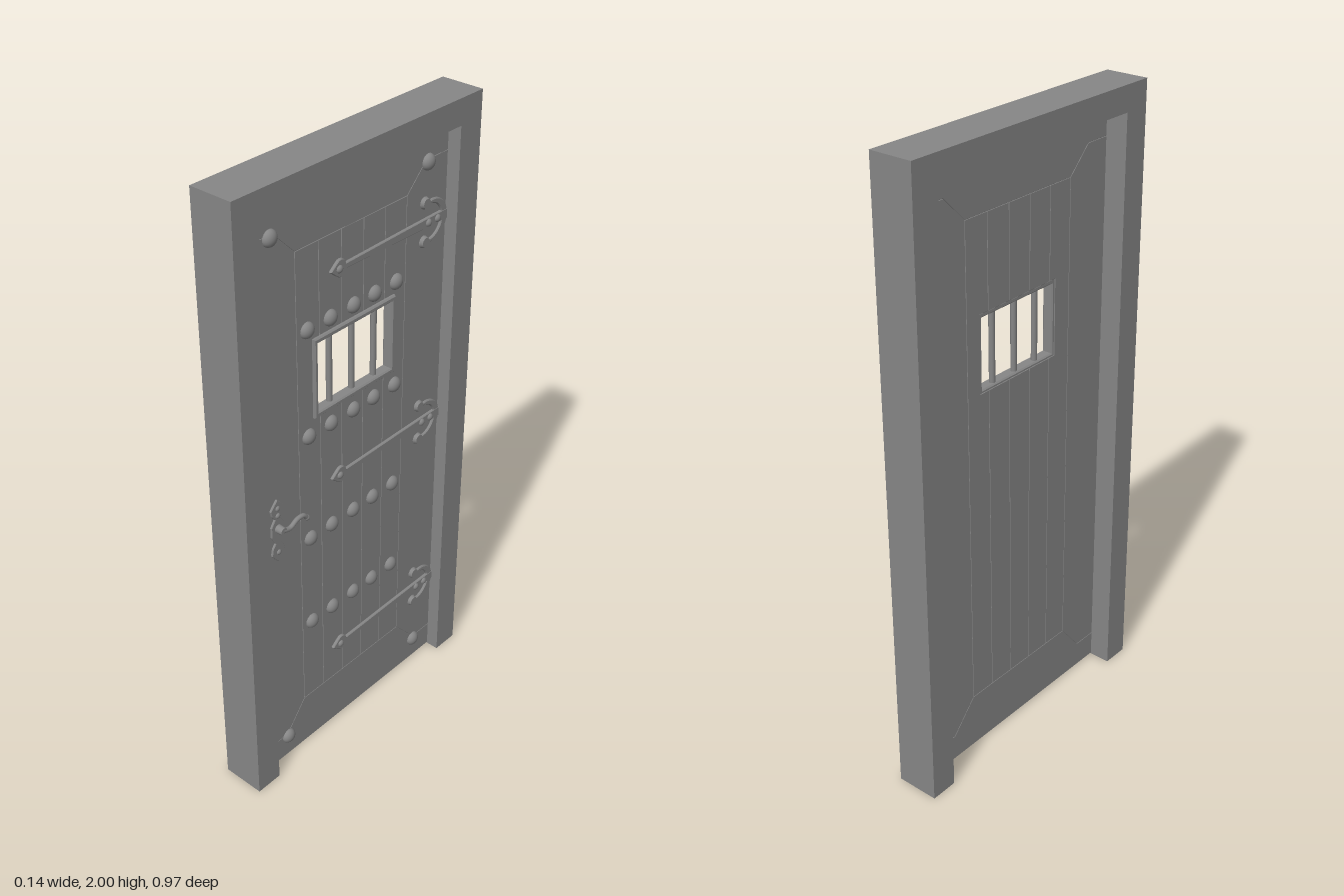
import * as THREE from 'three';

const material = new THREE.MeshStandardMaterial({ color: 0x868686, side: THREE.DoubleSide });

function add(parent, name, geometry, x = 0, y = 0, z = 0) {
  const mesh = new THREE.Mesh(geometry, material);
  mesh.name = name;
  mesh.position.set(x, y, z);
  parent.add(mesh);
  return mesh;
}

const outline = (pts) => new THREE.Shape(pts.map(([x, y]) => new THREE.Vector2(x, y)));
const rect = (x0, y0, x1, y1) => [[x0, y0], [x1, y0], [x1, y1], [x0, y1]];

// Plate between two depths; a bevel leaves a V groove between neighbours
function plate(shape, z0, z1, bevel = 0) {
  const g = new THREE.ExtrudeGeometry(shape, {
    depth: z1 - z0 - 2 * bevel, bevelEnabled: bevel > 0, bevelSize: bevel,
    bevelThickness: bevel, bevelOffset: -bevel, bevelSegments: 1, curveSegments: 16,
  });
  return g.translate(0, 0, z0 + bevel);
}

const BACK = 0, FACE = 0.028;
const WIN = { x: 0.165, y0: 1.23, y1: 1.473 };

// Flattened dome head
function stud(parent, x, y, r = 0.025, z = FACE) {
  const g = new THREE.SphereGeometry(r, 16, 8, 0, Math.PI * 2, 0, Math.PI / 2);
  g.rotateX(Math.PI / 2).scale(1, 1, 0.75);
  add(parent, 'stud', g, x, y, z);
}

function buildLeaf() {
  const leaf = new THREE.Group();
  leaf.name = 'doorLeaf';
  const board = (name, pts) => add(leaf, name, plate(outline(pts), BACK, FACE, 0.0012));

  // Rails and stiles with mitred corners
  board('bottomRail', [[-0.395, 0.004], [0.395, 0.004], [0.395, 0.09], [0.31, 0.09],
    [0.22, 0.19], [-0.23, 0.19], [-0.31, 0.09], [-0.395, 0.09]]);
  board('topRail', [[-0.395, 1.92], [-0.395, 1.84], [-0.31, 1.84], [-0.23, 1.76],
    [0.22, 1.76], [0.3, 1.84], [0.395, 1.84], [0.395, 1.92]]);
  board('leftStile', [[-0.395, 0.09], [-0.31, 0.09], [-0.23, 0.19], [-0.23, 1.76],
    [-0.31, 1.84], [-0.395, 1.84]]);
  board('rightStile', [[0.395, 0.09], [0.395, 1.84], [0.3, 1.84], [0.22, 1.76],
    [0.22, 0.19], [0.31, 0.09]]);

  // Planks, the middle ones cut by the window and the outer ones notched
  for (const x of [-0.14, -0.05, 0.04]) {
    board('plank', rect(x, 0.19, x + 0.09, WIN.y0));
    board('plank', rect(x, WIN.y1, x + 0.09, 1.76));
  }
  for (const [outer, inner, cut] of [[-0.23, -0.14, -WIN.x], [0.22, 0.13, WIN.x]]) {
    board('plank', [[outer, 0.19], [inner, 0.19], [inner, WIN.y0], [cut, WIN.y0],
      [cut, WIN.y1], [inner, WIN.y1], [inner, 1.76], [outer, 1.76]]);
  }

  // Rows of studs and the corner studs
  for (const y of [1.513, 1.171, 0.811, 0.49])
    for (const x of [-0.19, -0.098, -0.003, 0.085, 0.178]) stud(leaf, x, y);
  for (const [x, y] of [[-0.32, 1.832], [0.307, 1.832], [-0.307, 0.083], [0.307, 0.083]])
    stud(leaf, x, y);
  return leaf;
}

function buildWindow() {
  const win = new THREE.Group();
  win.name = 'barredWindow';
  const trim = outline(rect(-0.17, 1.222, 0.17, 1.476));
  trim.holes.push(outline(rect(-0.155, 1.239, 0.155, 1.459)));
  add(win, 'windowTrim', plate(trim, BACK + 0.002, 0.038, 0.004));
  for (const x of [-0.09, 0.003, 0.098])
    add(win, 'windowBar', new THREE.CylinderGeometry(0.0095, 0.0095, 0.235, 12), x, 1.349, 0.016);
  return win;
}

function buildHinge(y) {
  const hinge = new THREE.Group();
  hinge.name = 'strapHinge';
  hinge.position.y = y;
  // Tapering strap with a leaf-shaped tip
  const strap = new THREE.Shape();
  strap.moveTo(0.39, -0.016);
  strap.lineTo(0.39, 0.016);
  strap.lineTo(0.2, 0.013);
  strap.lineTo(-0.042, 0.008);
  strap.quadraticCurveTo(-0.05, 0.032, -0.072, 0.025);
  strap.quadraticCurveTo(-0.09, 0.012, -0.103, 0);
  strap.quadraticCurveTo(-0.09, -0.012, -0.072, -0.025);
  strap.quadraticCurveTo(-0.05, -0.032, -0.042, -0.008);
  strap.lineTo(0.2, -0.013);
  add(hinge, 'strap', plate(strap, FACE, 0.039, 0.002));

  // Crescent with rounded curls at its ends
  const a = 1.9;
  const crescent = new THREE.Shape();
  crescent.absarc(0.325, 0, 0.066, -a, a, false);
  crescent.absarc(0.312, 0, 0.054, a, -a, true);
  add(hinge, 'crescent', plate(crescent, FACE, 0.038, 0.003));
  for (const s of [-1, 1]) {
    const curl = new THREE.CylinderGeometry(0.015, 0.019, 0.011, 16).rotateX(Math.PI / 2);
    add(hinge, 'curl', curl, 0.297, s * 0.06, FACE + 0.0055);
  }
  for (const x of [-0.07, 0.305, 0.345]) stud(hinge, x, 0, 0.012, 0.038);
  return hinge;
}

function buildHandle() {
  const handle = new THREE.Group();
  handle.name = 'handle';
  handle.position.set(-0.33, 0.92, 0);
  // Ornate back plate, waisted with lobes at both ends
  const half = [[0, -0.11], [0.012, -0.098], [0.027, -0.078], [0.022, -0.055], [0.011, -0.04],
    [0.026, -0.012], [0.026, 0.022], [0.011, 0.045], [0.022, 0.06], [0.027, 0.08],
    [0.012, 0.098], [0, 0.11]];
  const mirrored = half.slice(1, -1).reverse().map(([x, y]) => [-x, y]);
  add(handle, 'handlePlate', plate(outline([...half, ...mirrored]), FACE, 0.036, 0.002));

  // Spindle and curved lever
  const spindle = new THREE.CylinderGeometry(0.012, 0.014, 0.03, 16).rotateX(Math.PI / 2);
  add(handle, 'spindle', spindle, 0, 0.01, 0.045);
  const path = new THREE.CatmullRomCurve3([[0, 0.01], [0.03, 0.004], [0.06, 0.018],
    [0.085, 0.017], [0.1, 0.002]].map(([x, y]) => new THREE.Vector3(x, y, 0.054)));
  add(handle, 'lever', new THREE.TubeGeometry(path, 24, 0.0075, 10));
  add(handle, 'leverTip', new THREE.SphereGeometry(0.009, 12, 8), 0.1, 0.002, 0.054);
  for (const y of [-0.075, 0.055, 0.08]) stud(handle, 0, y, 0.009, 0.035);
  return handle;
}

export function createModel() {
  const model = new THREE.Group();
  model.name = 'dungeonDoor';
  const door = new THREE.Group();
  door.name = 'door';
  door.rotation.y = Math.PI / 2; // decorated face towards +x
  model.add(door);

  // Surround, open at the bottom
  const surround = outline([[-0.485, 0], [-0.395, 0], [-0.395, 1.92], [0.395, 1.92],
    [0.395, 0], [0.485, 0], [0.485, 2], [-0.485, 2]]);
  add(door, 'doorFrame', plate(surround, -0.07, 0.07));

  door.add(buildLeaf(), buildWindow(), buildHandle());
  for (const y of [1.652, 0.978, 0.32]) door.add(buildHinge(y));
  return model;
}
